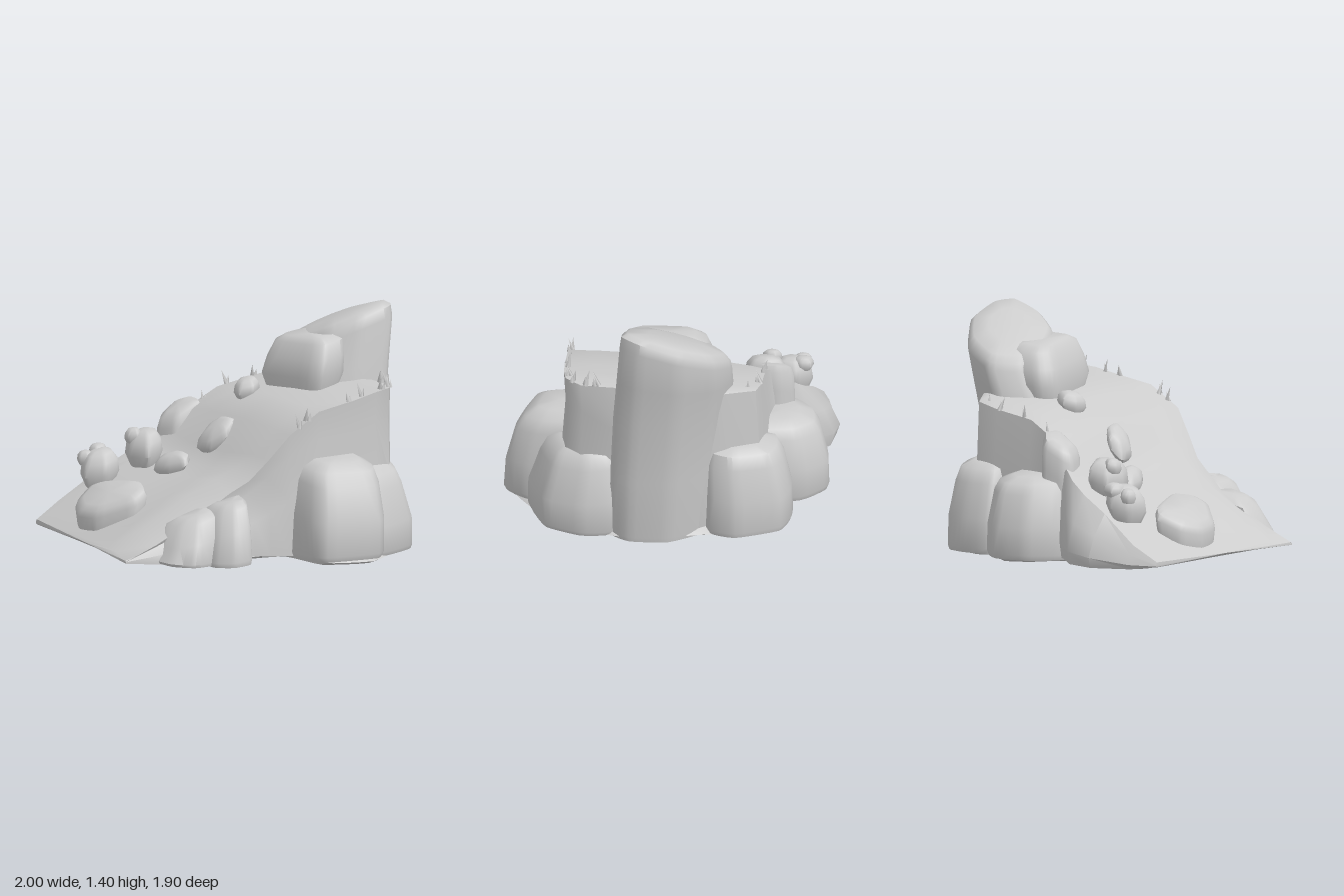
import * as THREE from 'three';
import { mergeVertices, toCreasedNormals } from 'three/addons/utils/BufferGeometryUtils.js';

const stone = new THREE.MeshStandardMaterial({ color: 0xcccccc });
stone.name = 'grey stone';
const { clamp } = THREE.MathUtils;

// Skin a closed solid over rings of equal point count, capped at both ends.
function loft(name, rings, crease) {
  const n = rings[0].length, pts = rings.flat(), idx = [];
  for (let r = 0; r + 1 < rings.length; r++) {
    for (let i = 0; i < n; i++) {
      const a = r * n + i, b = r * n + (i + 1) % n;
      idx.push(a, a + n, b, b, a + n, b + n);
    }
  }
  for (const [r, flip] of [[0, true], [rings.length - 1, false]]) {
    const c = new THREE.Vector3();
    rings[r].forEach((p) => c.addScaledVector(p, 1 / n));
    pts.push(c);
    for (let i = 0; i < n; i++) {
      const a = r * n + i, b = r * n + (i + 1) % n, m = pts.length - 1;
      idx.push(...(flip ? [a, b, m] : [b, a, m]));
    }
  }
  // turn the faces outward if the enclosed volume is negative
  let volume = 0;
  const cross = new THREE.Vector3();
  for (let i = 0; i < idx.length; i += 3) {
    volume += pts[idx[i]].dot(cross.crossVectors(pts[idx[i + 1]], pts[idx[i + 2]]));
  }
  if (volume < 0) idx.reverse();
  const geo = new THREE.BufferGeometry().setFromPoints(pts);
  geo.setIndex(idx);
  const mesh = new THREE.Mesh(toCreasedNormals(mergeVertices(geo), crease), stone);
  mesh.name = name;
  return mesh;
}

// Boulder: [x, z] outline; rings are [y, scale, dx, dz, tilt amount].
function rock(name, outline, rings, slopeX = 0, slopeZ = 0) {
  const curve = new THREE.CatmullRomCurve3(
    outline.map(([x, z]) => new THREE.Vector3(x, 0, z)), true, 'catmullrom', 0.25);
  const base = curve.getPoints(outline.length * 4).slice(0, -1);
  const c = new THREE.Box3().setFromPoints(base).getCenter(new THREE.Vector3());
  return loft(name, rings.map(([y, s, dx = 0, dz = 0, tilt = 1]) => base.map((p) => {
    const x = (p.x - c.x) * s, z = (p.z - c.z) * s;
    return new THREE.Vector3(c.x + x + dx, y + tilt * (slopeX * x + slopeZ * z), c.z + z + dz);
  })), 0.9);
}

// Small loose stone resting on the slope.
function pebble(name, x, y, z, rx, ry, rz, turn, slope) {
  const outline = [];
  for (let i = 0; i < 6; i++) {
    const a = i * Math.PI / 3, k = 1 + 0.1 * Math.sin(i * 2.3 + x * 9);
    const u = Math.cos(a) * rx * k, v = Math.sin(a) * rz * k;
    outline.push([x + u * Math.cos(turn) + v * Math.sin(turn), z - u * Math.sin(turn) + v * Math.cos(turn)]);
  }
  return rock(name, outline,
    [[y - ry, 0.75], [y - ry * 0.3, 1], [y + ry * 0.4, 0.92], [y + ry * 0.85, 0.65], [y + ry, 0.35]], slope);
}

// Ramp with a shallow bowl, and plateau, lofted along x.
function hill() {
  // x, base y, front edge z and y, front foot z, middle y, back edge z and y, back foot z, bowl depth
  const stations = [
    [-1, 0.08, 0.38, 0.1, 0.38, 0.11, -0.81, 0.11, -0.82, 0],
    [-0.8, 0.06, 0.39, 0.18, 0.42, 0.24, -0.83, 0.2, -0.88, 0.015],
    [-0.5, 0.055, 0.41, 0.33, 0.48, 0.4, -0.79, 0.36, -0.95, 0.035],
    [-0.33, 0.06, 0.45, 0.45, 0.52, 0.49, -0.76, 0.45, -0.93, 0.045],
    [-0.22, 0.07, 0.49, 0.52, 0.55, 0.55, -0.73, 0.52, -0.84, 0.05],
    [-0.12, 0.06, 0.54, 0.64, 0.57, 0.63, -0.68, 0.6, -0.74, 0.045],
    [0, 0.055, 0.59, 0.79, 0.6, 0.78, -0.6, 0.72, -0.66, 0],
    [0.2, 0.05, 0.59, 0.91, 0.61, 0.9, -0.58, 0.83, -0.62, 0],
    [0.45, 0.04, 0.585, 0.95, 0.6, 0.94, -0.58, 0.87, -0.62, 0],
    [0.6, 0.04, 0.575, 0.98, 0.59, 0.96, -0.56, 0.9, -0.59, 0],
    [0.7, 0.04, 0.555, 0.99, 0.56, 0.97, -0.38, 0.92, -0.4, 0],
    [0.765, 0.04, 0.46, 0.98, 0.46, 0.96, -0.2, 0.93, -0.22, 0],
  ];
  const rings = stations.map(([x, yb, zf, yf, zff, ym, zb, ybk, zbf, bowl]) => {
    const mid = Math.max(-0.3, zb * 0.5);
    const section = [
      [zff, yb], [zff, yb + (yf - yb) * 0.45], [zf - 0.01, yb + (yf - yb) * 0.8], [zf, yf - 0.01],
      [zf - 0.17, ym + 0.005], [0.05, ym - bowl * 0.8], [mid, (ym * 2 + ybk) / 3 - bowl],
      [zb * 0.83, (ym + ybk * 2) / 3 - bowl * 0.3], [zb, ybk],
      [zb - (zb - zbf) * 0.65, yb + (ybk - yb) * 0.6], [zbf, yb + (ybk - yb) * 0.2], [zbf + 0.02, yb],
      [mid, yb], [0.1, yb],
    ];
    // the low tip is cut at a slant
    const low = clamp((-x - 0.5) * 2, 0, 1);
    return section.map(([z, y]) => new THREE.Vector3(
      x + low * (0.07 * clamp((0.38 - z) / 0.33, 0, 1) + 0.03 * clamp((0.05 - z) / 0.85, 0, 1)), y, z));
  });
  return loft('hill', rings, 0.8);
}

// Pointed grass blades along the plateau rim.
function grass() {
  const group = new THREE.Group();
  group.name = 'grassTufts';
  const spots = [
    [0.06, 0.82, 0.575], [0.12, 0.86, 0.58], [0.41, 0.94, 0.56], [0.5, 0.95, 0.55], [0.65, 0.975, 0.54],
    [0.72, 0.98, 0.5], [0.75, 0.98, 0.42], [0.75, 0.98, 0.37],
    [0.09, 0.76, -0.57], [0.25, 0.84, -0.58], [0.43, 0.87, -0.56], [0.56, 0.88, -0.51],
  ];
  spots.forEach(([x, y, z], i) => {
    for (let k = 0; k < 2; k++) {
      const h = 0.1 - 0.035 * k - 0.01 * (i % 3);
      const blade = new THREE.Mesh(new THREE.ConeGeometry(0.016, h, 4), stone);
      blade.name = 'grassBlade';
      blade.position.set(x + 0.015 * k, y + h * 0.35, z + 0.012 * k);
      blade.rotation.set(0.25 * Math.sin(i * 2), i, 0.3 * Math.cos(i + k * 3));
      group.add(blade);
    }
  });
  return group;
}

export function createModel() {
  const model = new THREE.Group();
  model.name = 'rockyHill';
  model.add(hill(), grass());

  // one sloping underside joining the feet of all the rocks
  model.add(rock('underside',
    [[-0.78, 0.4], [-0.6, 0.58], [-0.33, 0.64], [-0.22, 0.5], [0.02, 0.52], [0.1, 0.82], [0.4, 0.88], [0.72, 0.62],
      [0.83, 0.3], [0.86, 0.05], [0.78, -0.25], [0.73, -0.55], [0.55, -0.7], [0.38, -0.68], [0.2, -0.88], [0.02, -0.85],
      [-0.14, -0.72], [-0.4, -0.87], [-0.82, -0.8]],
    [[0.031, 0.97], [0.045, 1], [0.12, 0.9]], -0.035));

  // tall summit pillar and the boulder leaning on it
  model.add(rock('summitPillar',
    [[0.45, -0.15], [0.48, -0.31], [0.63, -0.42], [0.84, -0.34], [0.98, -0.14], [0.99, 0.09], [0.91, 0.21], [0.72, 0.2], [0.55, 0.1]],
    [[0, 0.98, -0.115, 0.075, 0], [0.03, 1, -0.115, 0.075, 0], [0.4, 1.03, -0.105, 0.06, 0], [0.8, 1.06, -0.08, 0.03, 0],
      [1.0, 1.05, -0.045, 0.01, 0.4], [1.18, 1.01, 0, 0, 0.9], [1.235, 0.98], [1.268, 0.87], [1.29, 0.5]], 0.31, 0.29));
  model.add(rock('leaningBoulder',
    [[0.29, -0.2], [0.36, -0.3], [0.55, -0.3], [0.66, -0.05], [0.6, 0.2], [0.42, 0.26], [0.36, 0.18]],
    [[0.85, 0.8], [1.0, 1], [1.1, 0.94, 0.02], [1.19, 0.82, 0.04], [1.22, 0.6, 0.04]], 0.1, 0.06));

  // boulders around the foot
  model.add(rock('frontBoulderLarge',
    [[0.03, 0.45], [0.02, 0.78], [0.08, 0.89], [0.4, 0.95], [0.51, 0.8], [0.52, 0.45]],
    [[0.045, 0.95, 0, 0, -0.8], [0.08, 1, 0, 0, -0.5], [0.3, 0.99, 0.01, -0.01], [0.5, 0.9, 0.02, -0.04],
      [0.58, 0.8, 0.03, -0.07], [0.62, 0.5, 0.03, -0.07]], 0, -0.08));
  model.add(rock('frontBoulderRight',
    [[0.45, 0.4], [0.46, 0.79], [0.6, 0.77], [0.79, 0.67], [0.87, 0.45], [0.83, 0.27], [0.6, 0.2]],
    [[0.02, 0.95, 0, 0, -0.6], [0.045, 1, 0, 0, -0.6], [0.22, 0.99], [0.42, 0.86, -0.02, -0.03],
      [0.5, 0.74, -0.03, -0.04], [0.54, 0.45, -0.03, -0.04]], 0, -0.05));
  model.add(rock('backBoulderRight',
    [[0.37, -0.4], [0.38, -0.74], [0.56, -0.77], [0.71, -0.72], [0.82, -0.46], [0.77, -0.3], [0.55, -0.2]],
    [[0.025, 0.96, 0, 0, -0.6], [0.055, 1, 0, 0, -0.6], [0.25, 0.98], [0.45, 0.89, -0.01, 0.02],
      [0.53, 0.78, -0.01, 0.03], [0.56, 0.45, -0.01, 0.03]], 0, 0.04));
  model.add(rock('backBoulderMiddle',
    [[-0.16, -0.45], [-0.15, -0.77], [-0.01, -0.92], [0.2, -0.95], [0.36, -0.8], [0.4, -0.45]],
    [[0.045, 0.95, 0, 0, -0.4], [0.075, 1, 0, 0, -0.4], [0.25, 0.98], [0.44, 0.88, 0, 0.02],
      [0.5, 0.77, 0, 0.03], [0.53, 0.45, 0, 0.03]], 0, 0.05));
  model.add(rock('frontBoulderSmall',
    [[-0.56, 0.4], [-0.55, 0.64], [-0.46, 0.73], [-0.34, 0.72], [-0.27, 0.58], [-0.26, 0.4]],
    [[0.06, 0.96, 0, 0, 0.2], [0.09, 1, 0, 0, 0.3], [0.26, 0.86, 0.03, -0.03],
      [0.38, 0.7, 0.05, -0.06], [0.41, 0.45, 0.06, -0.06]], 0.25));
  model.add(rock('frontBoulderLow',
    [[-0.79, 0.33], [-0.78, 0.53], [-0.67, 0.63], [-0.47, 0.59], [-0.42, 0.33]],
    [[0.06, 0.96, 0, 0, -0.1], [0.08, 1, 0, 0, 0], [0.2, 0.9, 0.03, -0.02],
      [0.31, 0.74, 0.06, -0.05], [0.34, 0.45, 0.07, -0.05]], 0.25));
  model.add(rock('backLedgeStone',
    [[-0.17, -0.66], [-0.12, -0.71], [0.0, -0.73], [0.07, -0.64], [0.06, -0.5], [-0.12, -0.52]],
    [[0.3, 1, 0, 0, 0], [0.55, 1], [0.67, 0.95], [0.72, 0.8], [0.74, 0.5]], 0.6));

  // flat slab and loose stones on the slope
  model.add(rock('flatSlab',
    [[-0.89, -0.35], [-0.83, -0.48], [-0.7, -0.54], [-0.63, -0.46], [-0.55, -0.2], [-0.6, -0.05], [-0.7, -0.03], [-0.86, -0.19]],
    [[0.22, 0.95], [0.3, 1], [0.335, 0.93], [0.355, 0.75]], 0.5));
  const stones = [
    [-0.56, 0.42, -0.66, 0.115, 0.1, 0.13, 0.3, 0.2], [-0.53, 0.5, -0.73, 0.06, 0.04, 0.06, 0.8, 0.1],
    [-0.62, 0.47, -0.72, 0.045, 0.04, 0.06, 0.2, 0.1],
    [-0.33, 0.54, -0.53, 0.115, 0.1, 0.13, 0.1, 0.2], [-0.39, 0.61, -0.56, 0.05, 0.04, 0.055, 0.5, 0.2],
    [-0.3, 0.49, -0.26, 0.065, 0.05, 0.125, 0.4, 0.55], [-0.09, 0.67, -0.11, 0.08, 0.06, 0.115, 0.4, 0.9],
    [0.18, 0.9, -0.21, 0.08, 0.055, 0.085, 0.5, 0.25],
  ];
  stones.forEach((s) => model.add(pebble('looseStone', ...s)));
  return model;
}
